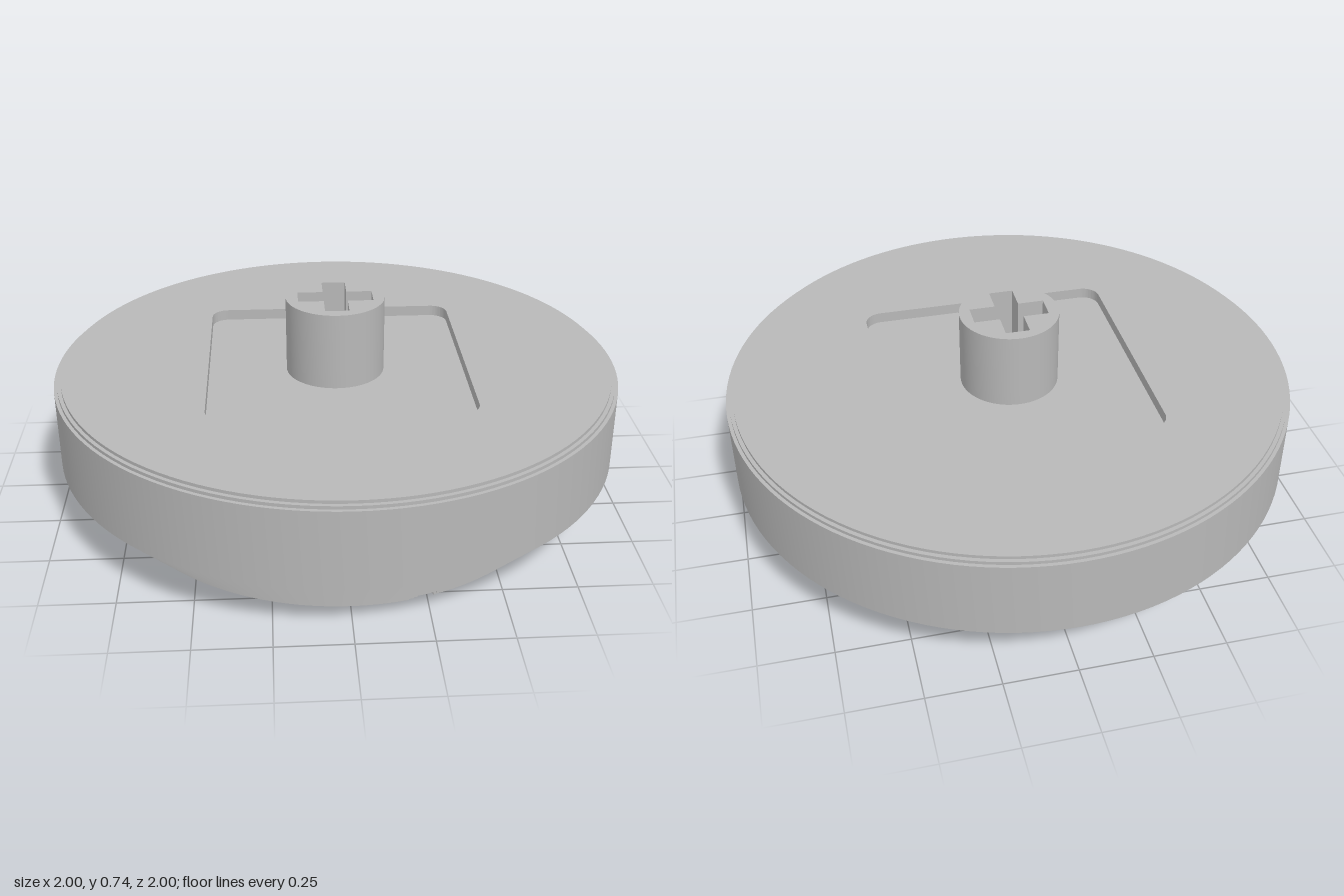
import * as THREE from 'three';
import { toCreasedNormals } from 'three/addons/utils/BufferGeometryUtils.js';

const SEG = 128;
const STEP = 0.0125;      // height of one terrace
const SLOT_LAYERS = 3;    // terraces the slots are sunk into
const terraceRadius = (i) => 0.81 + i * 0.19 / 16;
const rad = THREE.MathUtils.degToRad;

// Three rings of four slots, each ring turned on from the last; tilts are per slot
const slotRings = [
  { r: 0.345, start: -79, tilts: [35, 90, 80, -13] },
  { r: 0.59, start: -50, tilts: [80, -13, 35, 25] },
  { r: 0.81, start: -17, tilts: [-10, 35, 80, 5] },
];

// Points of one elliptical slot, counter-clockwise in (x, z)
function slotPoints(ring, k) {
  const a = rad(ring.start + 90 * k), t = rad(ring.tilts[k]);
  const points = [];
  for (let i = 0; i < 32; i++) {
    const p = new THREE.Vector2(0.071 * Math.cos(i * Math.PI / 16), 0.036 * Math.sin(i * Math.PI / 16));
    p.rotateAround(new THREE.Vector2(), t);
    points.push(p.add(new THREE.Vector2(ring.r * Math.cos(a), ring.r * Math.sin(a))));
  }
  return points;
}

// Part of a slot inside radius R, walked clockwise to join the outline
function notchPoints(points, R) {
  const cw = points.slice().reverse();
  let far = 0;
  cw.forEach((p, i) => { if (p.length() > cw[far].length()) far = i; });
  return cw.map((_, i) => cw[(far + i) % cw.length]).filter((p) => p.length() < R);
}

// Circle of radius R with the outer slots bitten out of its edge
function notchedDisc(R) {
  const outline = [];
  const bites = [0, 1, 2, 3].map((k) => {
    const pts = notchPoints(slotPoints(slotRings[2], k), R);
    const mid = rad(slotRings[2].start + 90 * k);
    const offset = (p) => {
      const d = p.angle() - mid;
      return Math.atan2(Math.sin(d), Math.cos(d));
    };
    return { pts, mid, from: offset(pts[0]), to: offset(pts[pts.length - 1]) };
  });
  bites.forEach((b, k) => {
    outline.push(...b.pts);
    const next = bites[(k + 1) % 4];
    const a0 = b.mid + b.to, a1 = b.mid + Math.PI / 2 + next.from;
    for (let i = 0; i <= 32; i++) {
      const a = a0 + (a1 - a0) * i / 32;
      outline.push(new THREE.Vector2(R * Math.cos(a), R * Math.sin(a)));
    }
  });
  const shape = new THREE.Shape(outline);
  for (const ring of slotRings.slice(0, 2)) {
    for (let k = 0; k < 4; k++) shape.holes.push(new THREE.Path(slotPoints(ring, k)));
  }
  return shape;
}

// Flat shape in (x, z) raised from y0 to y1
function slab(shape, y0, y1, curveSegments = 24) {
  const geo = new THREE.ExtrudeGeometry(shape, { depth: y1 - y0, bevelEnabled: false, curveSegments });
  geo.rotateX(Math.PI / 2).translate(0, y1, 0);
  return toCreasedNormals(geo, 0.5);
}

function circle(r) {
  return new THREE.Shape().absarc(0, 0, r, 0, Math.PI * 2, false);
}

function roundedSquare(h, r) {
  const p = new THREE.Path();
  p.absarc(h - r, h - r, r, 0, Math.PI / 2);
  p.absarc(r - h, h - r, r, Math.PI / 2, Math.PI);
  p.absarc(r - h, r - h, r, Math.PI, Math.PI * 1.5);
  p.absarc(h - r, r - h, r, Math.PI * 1.5, Math.PI * 2);
  p.closePath();
  return p;
}

function crossPath(l, w) {
  return new THREE.Path([
    [l, -w], [l, w], [w, w], [w, l], [-w, l], [-w, w],
    [-l, w], [-l, -w], [-w, -w], [-w, -l], [w, -l], [w, -w],
  ].map(([x, y]) => new THREE.Vector2(x, y)));
}

export function createModel() {
  const model = new THREE.Group();
  const grey = new THREE.MeshStandardMaterial({ color: 0xb8b8b8 });
  grey.name = 'grey';
  const add = (name, geo) => {
    const mesh = new THREE.Mesh(geo, grey);
    mesh.name = name;
    model.add(mesh);
    return mesh;
  };

  // Lowest terraces, pierced by the slots
  for (let i = 0; i < SLOT_LAYERS; i++) {
    add('slottedTerrace', slab(notchedDisc(terraceRadius(i)), i * STEP, (i + 1) * STEP));
  }

  // Remaining terraces, rim and recess floor
  const profile = [[0, SLOT_LAYERS * STEP]];
  for (let i = SLOT_LAYERS; i < 16; i++) {
    profile.push([terraceRadius(i), i * STEP], [terraceRadius(i), (i + 1) * STEP]);
  }
  profile.push([1, 0.2], [1, 0.478], [0.988, 0.478], [0.988, 0.489], [0.975, 0.489], [0.975, 0.46], [0, 0.46]);
  const lathe = new THREE.LatheGeometry(profile.map(([x, y]) => new THREE.Vector2(x, y)), SEG);
  add('body', toCreasedNormals(lathe, 0.5));

  // Top plate with the square recess
  const top = circle(0.975);
  top.holes.push(roundedSquare(0.457, 0.06));
  add('topPlate', slab(top, 0.46, 0.5, 64));

  // Stem with a cross-shaped socket
  const stem = circle(0.175);
  stem.holes.push(crossPath(0.132, 0.042));
  add('stem', slab(stem, 0.46, 0.735, 32)).position.set(-0.003, 0, -0.003);
  const floor = new THREE.CircleGeometry(0.17, 32).rotateX(-Math.PI / 2);
  add('socketFloor', floor).position.set(-0.003, 0.49, -0.003);

  return model;
}
